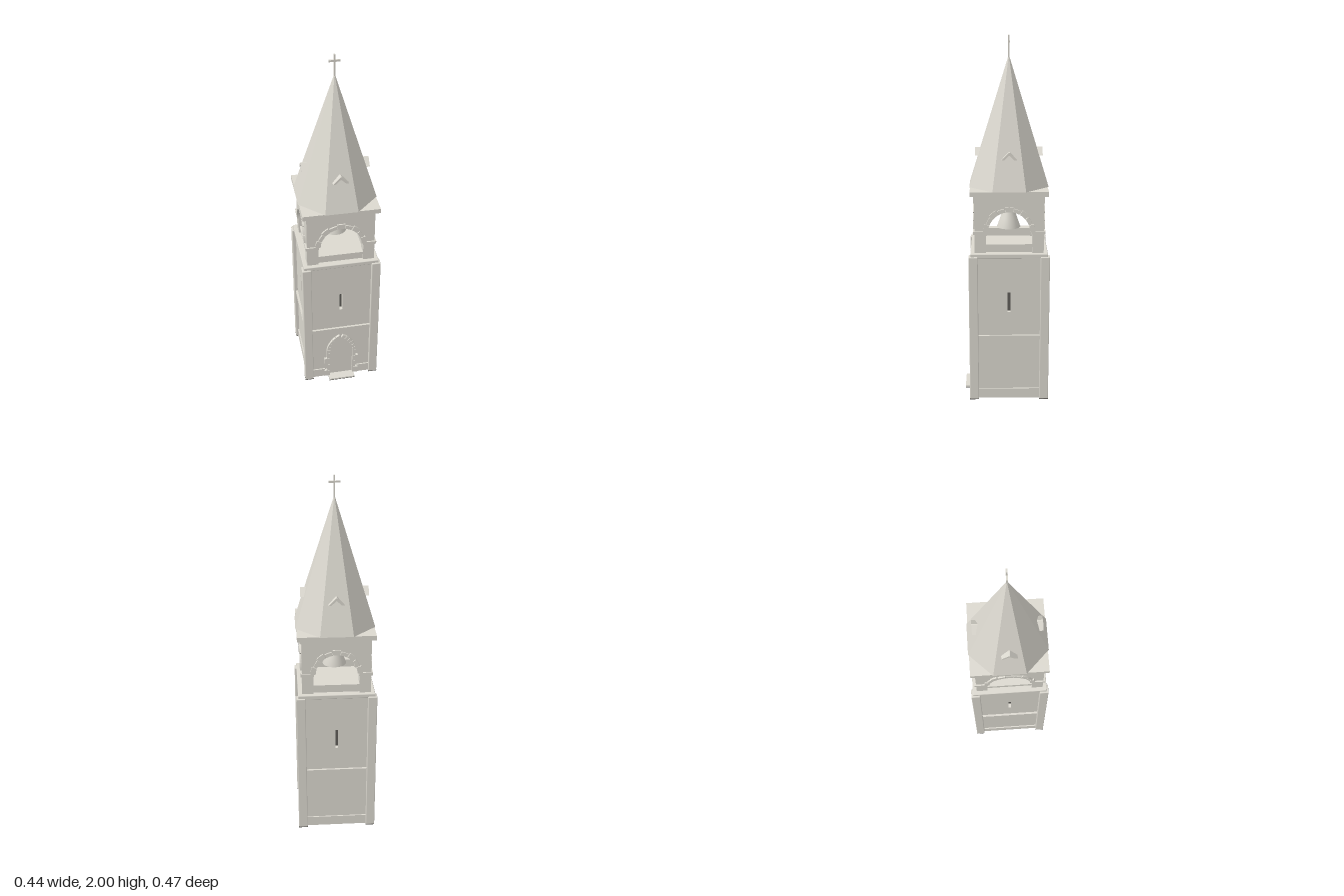
import * as THREE from 'three';
import { RoundedBoxGeometry } from 'three/addons/geometries/RoundedBoxGeometry.js';

export function createModel() {
  const stone = new THREE.MeshStandardMaterial({ color: 0xdbd8cf });
  stone.name = 'stone';
  const dark = new THREE.MeshStandardMaterial({ color: 0x5e5c58 });
  dark.name = 'darkOpening';

  const model = new THREE.Group();
  model.name = 'bellTower';
  const tower = new THREE.Group();
  tower.name = 'tower';
  tower.position.z = -0.0165;
  model.add(tower);

  const add = (parent, name, geo, x = 0, y = 0, z = 0, mat = stone) => {
    const m = new THREE.Mesh(geo, mat);
    m.name = name;
    m.position.set(x, y, z);
    parent.add(m);
    return m;
  };
  // Box given by its centre in x and z and its bottom and top heights
  const box = (parent, name, w, y0, y1, d, x = 0, z = 0, mat = stone) =>
    add(parent, name, new THREE.BoxGeometry(w, y1 - y0, d), x, (y0 + y1) / 2, z, mat);
  const extrude = (shape, depth) =>
    new THREE.ExtrudeGeometry(shape, { depth, bevelEnabled: false, curveSegments: 20 });
  const outline = (points, Type = THREE.Shape) =>
    new Type(points.map(([x, y]) => new THREE.Vector2(x, y)));
  // One wedge-shaped arch stone
  const voussoir = (parent, name, cx, cy, r0, r1, a0, a1, z, depth) => {
    const s = new THREE.Shape();
    s.absarc(cx, cy, r1, a0, a1, false);
    s.absarc(cx, cy, r0, a1, a0, true);
    s.closePath();
    add(parent, name, new THREE.ExtrudeGeometry(s, { depth, bevelEnabled: false, curveSegments: 3 }), 0, 0, z);
  };
  // Four groups, each facing one side
  const sides = ['front', 'left', 'back', 'right'].map((n, i) => {
    const g = new THREE.Group();
    g.name = n + 'Side';
    g.rotation.y = (i * Math.PI) / 2;
    tower.add(g);
    return g;
  });

  // Shaft core, dark underside, corner piers and a top ledge
  box(tower, 'shaftCore', 0.35, 0.003, 0.84, 0.35, 0, 0, dark);
  box(tower, 'underside', 0.404, 0, 0.003, 0.404, 0, 0, dark);
  for (const x of [-1, 1]) for (const z of [-1, 1]) {
    add(tower, 'cornerPier', new RoundedBoxGeometry(0.05, 0.84, 0.05, 1, 0.004), x * 0.195, 0.422, z * 0.195);
    box(tower, 'pierUnderside', 0.05, 0, 0.003, 0.05, x * 0.195, z * 0.195, dark);
  }
  add(tower, 'ledge', new RoundedBoxGeometry(0.42, 0.024, 0.42, 1, 0.004), 0, 0.846, 0);

  // Shaft face with a slit window
  const face = outline([[-0.2, 0.003], [0.2, 0.003], [0.2, 0.84], [-0.2, 0.84]]);
  face.holes.push(outline([[-0.008, 0.52], [-0.008, 0.635], [0.008, 0.635], [0.008, 0.52]], THREE.Path));
  const faceGeo = extrude(face, 0.025);

  // Arched belfry wall outline
  const half = 0.187, r = 0.122, spring = 0.975;
  const wall = new THREE.Shape();
  wall.moveTo(-half, 0.855);
  wall.lineTo(-0.125, 0.855);
  wall.lineTo(-0.125, spring);
  wall.absarc(0, spring, r, Math.PI, 0, true);
  wall.lineTo(0.125, spring);
  wall.lineTo(0.125, 0.855);
  wall.lineTo(half, 0.855);
  wall.lineTo(half, 1.178);
  wall.lineTo(-half, 1.178);
  wall.closePath();
  const wallGeo = extrude(wall, 0.058);

  // Gabled spire vent outline
  const ventGeo = extrude(outline([[-0.042, 1.365], [-0.028, 1.365], [0, 1.391], [0.028, 1.365],
    [0.042, 1.365], [0.003, 1.405], [-0.003, 1.405]]), 0.054);

  sides.forEach((side, i) => {
    // Shaft details
    add(side, 'shaftFace', faceGeo, 0, 0, 0.175);
    box(side, 'stringCourse', 0.345, 0.36, 0.385, 0.02, 0, 0.202);
    if (i === 0) {
      for (const x of [-1, 1]) box(side, 'plinth', 0.075, 0.003, 0.06, 0.016, x * 0.135, 0.199);
    } else box(side, 'plinth', 0.345, 0.003, 0.06, 0.016, 0, 0.199);

    // Belfry wall with arch stones and impost bands
    add(side, 'belfryWall', wallGeo, 0, 0, half - 0.058);
    const n = 9;
    for (let k = 0; k < n; k++)
      voussoir(side, 'archStone', 0, spring, 0.113, k % 2 ? 0.133 : 0.141,
        (k * Math.PI) / n + 0.012, ((k + 1) * Math.PI) / n - 0.012, half - 0.061, 0.07);
    for (const x of [-1, 1]) box(side, 'impost', 0.074, 0.963, 0.98, 0.07, x * 0.158, 0.16);
    box(side, 'friezePanel', i % 2 ? 0.21 : 0.26, 1.12, 1.176, 0.014, 0, half);

    // Parapet with coping
    box(side, 'parapet', 0.25, 0.855, 0.892, 0.03, 0, 0.158);
    box(side, 'coping', 0.25, 0.89, 0.905, 0.045, 0, 0.158);

    add(side, 'spireVent', ventGeo, 0, 0, 0.13);
  });

  // Cornice and eight-sided spire
  box(tower, 'cornice', 0.42, 1.175, 1.201, 0.42);
  const spire = add(tower, 'spire',
    new THREE.ConeGeometry(0.2327, 0.7, 8).toNonIndexed(), 0, 1.55, 0);
  spire.geometry.computeVertexNormals();
  spire.rotation.y = Math.PI / 8;

  // Cross at the tip
  box(tower, 'crossPost', 0.008, 1.87, 2, 0.008);
  box(tower, 'crossArm', 0.06, 1.961, 1.971, 0.009);

  // Bell hung from a beam
  const bell = [[0, 1.074], [0.026, 1.072], [0.03, 1.06], [0.046, 1.01], [0.066, 0.955],
    [0.058, 0.957], [0.04, 1.01], [0.022, 1.058], [0, 1.062]]
    .map(([x, y]) => new THREE.Vector2(x, y)).reverse();
  add(tower, 'bell', new THREE.LatheGeometry(bell, 24));
  add(tower, 'clapper', new THREE.CylinderGeometry(0.004, 0.008, 0.1, 8), 0, 1.012, 0);
  box(tower, 'bellYoke', 0.034, 1.07, 1.105, 0.034);
  box(tower, 'bellBeam', 0.3, 1.1, 1.125, 0.03);

  // Doorway: step, quoined jambs and pointed arch
  const door = sides[0];
  box(door, 'doorStep', 0.154, 0.003, 0.012, 0.06, 0, 0.2195);
  box(door, 'stepUnderside', 0.154, 0, 0.003, 0.06, 0, 0.2195, dark);
  const w = 0.068, R = 0.131, doorSpring = 0.195;
  for (const x of [-1, 1]) {
    [[0.01, 0.052, 0.034], [0.054, 0.103, 0.018], [0.105, 0.15, 0.034], [0.152, 0.195, 0.018]]
      .forEach(([y0, y1, t]) => box(door, 'jambStone', t, y0, y1, 0.026, x * (w + t / 2), 0.203));
    const sweep = Math.acos((R - w) / R), m = 6;
    for (let k = 0; k < m; k++) {
      const a0 = (k / m) * sweep + 0.008, a1 = ((k + 1) / m) * sweep - 0.008;
      const [b0, b1] = x > 0 ? [a0, a1] : [Math.PI - a1, Math.PI - a0];
      voussoir(door, 'doorArchStone', x * (w - R), doorSpring, R, R + 0.02, b0, b1, 0.19, 0.025);
    }
  }
  return model;
}
